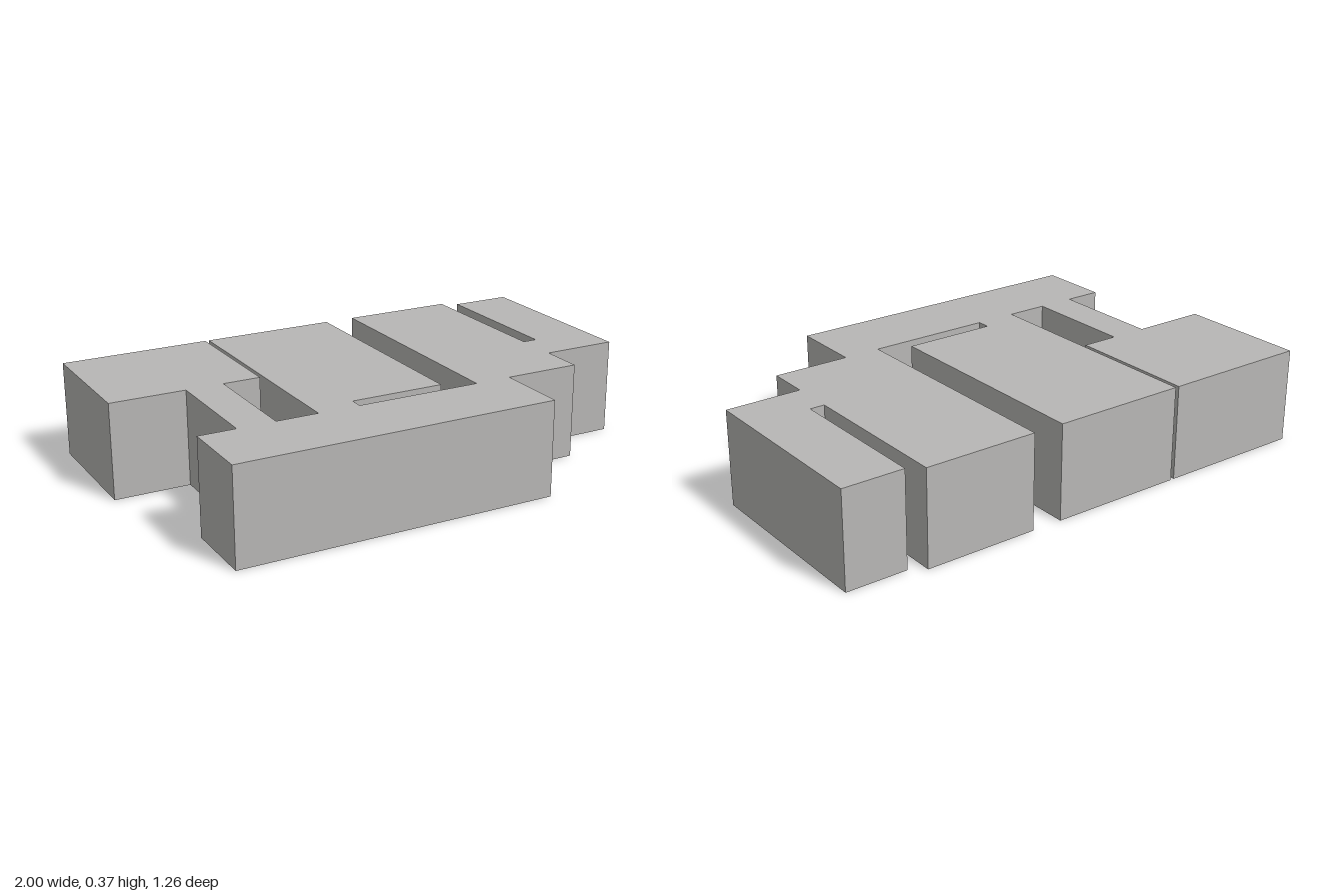
import * as THREE from 'three';

const HEIGHT = 0.373;

// Plan outline as [x, z] corners, walked around the whole floor plan
const OUTLINE = [
  // front bar
  [-0.85, 0.628], [0.403, 0.628], [0.403, 0.339],
  // right wing and the outer wing linked to it
  [0.703, 0.339], [0.703, 0.169], [1, 0.169], [1, -0.591], [0.76, -0.591],
  [0.76, 0], [0.703, 0], [0.703, -0.628], [0.258, -0.628], [0.258, 0.339],
  // middle wing on its short neck
  [-0.232, 0.339], [-0.232, 0.287], [0.137, 0.287], [0.137, -0.628],
  [-0.395, -0.628], [-0.395, 0.339],
  // left wing on its long neck
  [-0.558, 0.339], [-0.558, -0.11], [-0.41, -0.11], [-0.41, -0.628],
  [-1, -0.628], [-1, -0.11], [-0.705, -0.11], [-0.705, 0.339], [-0.85, 0.339],
];

export function createModel() {
  const wall = new THREE.MeshStandardMaterial({ color: 0xb8b7b5 });
  wall.name = 'concrete grey';
  const ground = new THREE.MeshStandardMaterial({ color: 0xd4a574 });
  ground.name = 'earth tan';

  // Extrude the plan upwards (shape y becomes -z)
  const shape = new THREE.Shape(OUTLINE.map(([x, z]) => new THREE.Vector2(x, -z)));
  const geometry = new THREE.ExtrudeGeometry(shape, { depth: HEIGHT, bevelEnabled: false });
  geometry.rotateX(-Math.PI / 2);

  // The first half of the cap faces is the underside; roof and walls follow
  const half = geometry.groups[0].count / 2;
  const total = geometry.attributes.position.count;
  geometry.clearGroups();
  geometry.addGroup(0, half, 1);
  geometry.addGroup(half, total - half, 0);

  const building = new THREE.Mesh(geometry, [wall, ground]);
  building.name = 'buildingBlock';

  const group = new THREE.Group();
  group.name = 'building';
  group.add(building);
  return group;
}
